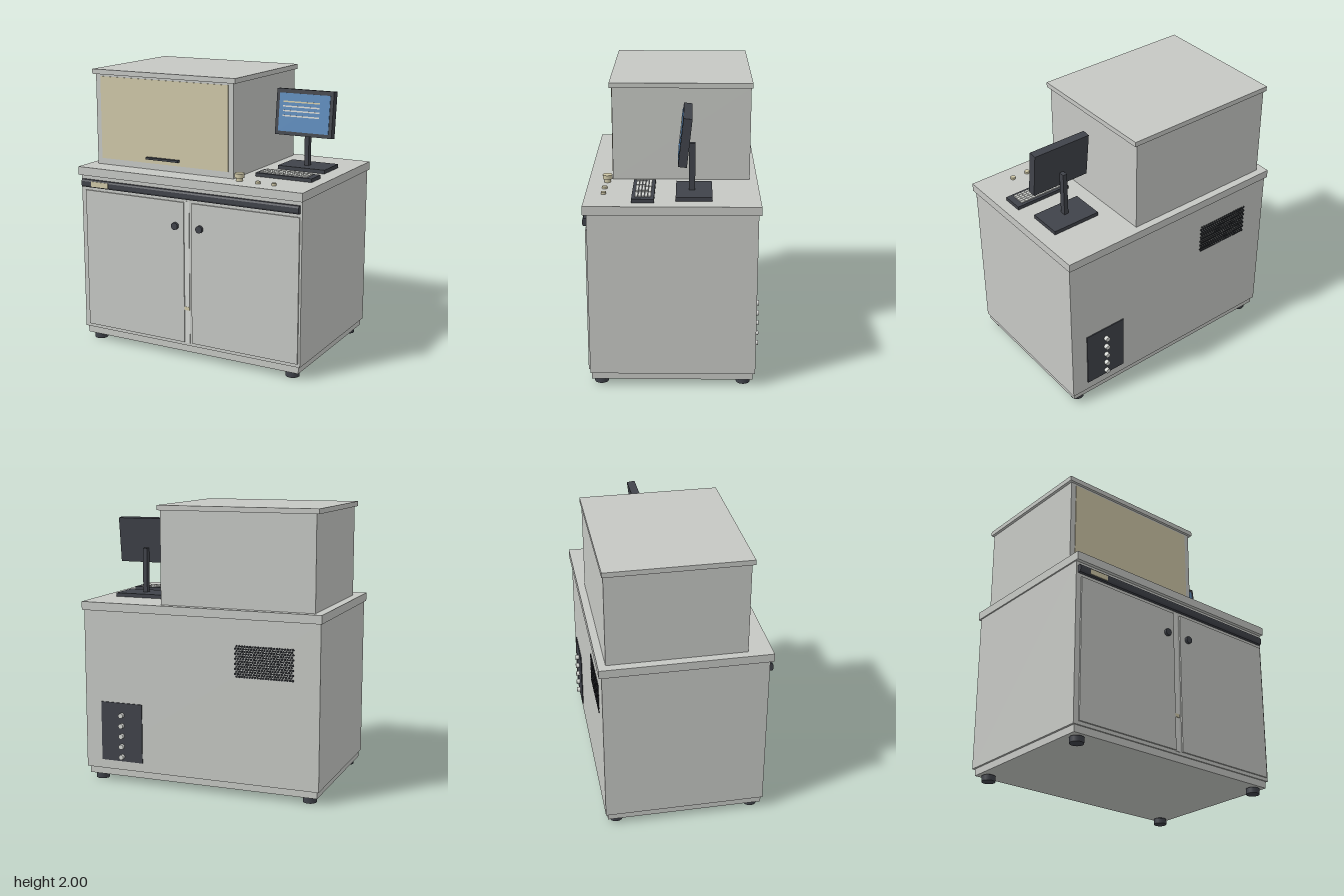
import * as THREE from 'three';
import { mergeGeometries } from 'three/addons/utils/BufferGeometryUtils.js';

const material = (name, color) => {
  const m = new THREE.MeshStandardMaterial({ color });
  m.name = name;
  return m;
};

export function createModel() {
  const grey = material('cabinet grey', 0xc6c8c4);
  const pale = material('pale grey', 0xd6d8d4);
  const dark = material('charcoal', 0x40434a);
  const black = material('vent black', 0x24262a);
  const beige = material('beige', 0xcfc8a8);
  const blue = material('screen blue', 0x5c8aba);

  const model = new THREE.Group();
  model.name = 'laboratoryWorkstation';

  const add = (parent, name, geometry, mat) => {
    const mesh = new THREE.Mesh(geometry, mat);
    mesh.name = name;
    parent.add(mesh);
    return mesh;
  };
  // Box given by its limits on each axis
  const boxGeo = (x0, x1, y0, y1, z0, z1) =>
    new THREE.BoxGeometry(x1 - x0, y1 - y0, z1 - z0)
      .translate((x0 + x1) / 2, (y0 + y1) / 2, (z0 + z1) / 2);
  const box = (parent, name, mat, ...limits) => add(parent, name, boxGeo(...limits), mat);
  // Upright cylinder standing on y
  const post = (parent, name, mat, r, h, x, y, z) =>
    add(parent, name, new THREE.CylinderGeometry(r, r, h, 24).translate(x, y + h / 2, z), mat);
  // Cylinder lying along z
  const peg = (parent, name, mat, r, x, y, z0, z1) =>
    add(parent, name, new THREE.CylinderGeometry(r, r, z1 - z0, 24)
      .rotateX(Math.PI / 2).translate(x, y, (z0 + z1) / 2), mat);
  const group = (name) => {
    const g = new THREE.Group();
    g.name = name;
    model.add(g);
    return g;
  };

  // Cabinet, plinth, counter and feet
  const cabinet = group('cabinet');
  box(cabinet, 'plinth', grey, -0.865, 0.86, 0.045, 0.095, -0.55, 0.557);
  box(cabinet, 'cabinetBody', grey, -0.88, 0.875, 0.095, 1.25, -0.565, 0.567);
  box(cabinet, 'counter', grey, -0.89, 0.885, 1.25, 1.31, -0.583, 0.593);
  for (const x of [-0.795, 0.79]) {
    for (const z of [0.495, -0.485]) {
      post(cabinet, 'foot', dark, 0.048, 0.04, x, 0, z);
      post(cabinet, 'footStem', dark, 0.035, 0.012, x, 0.038, z);
    }
  }

  // Doors with round knobs, and the strip between them
  const doors = group('doors');
  box(doors, 'leftPanelDoor', grey, -0.84, -0.02, 0.12, 1.14, 0.567, 0.578);
  box(doors, 'rightPanelDoor', grey, 0.04, 0.86, 0.12, 1.14, 0.567, 0.578);
  box(doors, 'centreStrip', pale, -0.02, 0.02, 0.115, 1.15, 0.567, 0.571);
  box(doors, 'latch', beige, -0.02, 0.02, 0.36, 0.385, 0.567, 0.574);
  for (const x of [-0.085, 0.11]) peg(doors, 'doorKnob', dark, 0.026, x, 0.967, 0.577, 0.598);

  // Dark trim bar with bevelled edges, plus blank label plate
  const profile = new THREE.Shape([
    [0.565, 1.165], [0.588, 1.165], [0.595, 1.178], [0.595, 1.207], [0.588, 1.22], [0.565, 1.22],
  ].map(([z, y]) => new THREE.Vector2(-z, y)));
  add(cabinet, 'trimBar', new THREE.ExtrudeGeometry(profile, { depth: 1.725, bevelEnabled: false })
    .rotateY(Math.PI / 2).translate(-0.865, 0, 0), dark);
  box(cabinet, 'labelPlate', beige, -0.78, -0.635, 1.172, 1.211, 0.594, 0.598);

  // Enclosure with sliding front window
  const hood = group('enclosure');
  box(hood, 'enclosureBody', grey, -0.83, 0.29, 1.31, 1.965, -0.53, 0.427);
  box(hood, 'enclosureCap', grey, -0.85, 0.31, 1.965, 2, -0.54, 0.445);
  box(hood, 'frontWindow', beige, -0.79, 0.25, 1.355, 1.95, 0.427, 0.432);
  box(hood, 'windowHandle', dark, -0.4, -0.135, 1.385, 1.4, 0.43, 0.458);

  // Monitor on its stand, leaning back
  const monitor = group('monitor');
  box(monitor, 'monitorBase', dark, 0.41, 0.77, 1.31, 1.337, -0.262, -0.018);
  box(monitor, 'monitorPost', dark, 0.576, 0.608, 1.335, 1.66, -0.147, -0.105);
  const head = new THREE.Group();
  head.name = 'monitorHead';
  head.position.set(0.592, 1.717, -0.08);
  head.rotation.x = -0.11;
  monitor.add(head);
  box(head, 'monitorCase', dark, -0.217, 0.217, -0.163, 0.163, -0.029, 0.029);
  box(head, 'screen', blue, -0.192, 0.193, -0.137, 0.133, 0.029, 0.033);
  [0.073, 0.04, 0.008, -0.027].forEach((y, i) =>
    box(head, 'screenLine', i ? pale : beige, -0.162, 0.118, y - 0.005, y + 0.005, 0.033, 0.035));

  // Keyboard with a grid of keys
  const keyboard = group('keyboard');
  box(keyboard, 'keyboardBase', dark, 0.38, 0.805, 1.31, 1.335, 0.125, 0.275);
  const keys = [];
  for (let row = 0; row < 5; row++) {
    for (let col = 0; col < 12; col++) {
      const x = 0.405 + col * 0.0298, z = 0.147 + row * 0.0218;
      keys.push(boxGeo(x, x + 0.0265, 1.334, 1.343, z, z + 0.0185));
    }
  }
  add(keyboard, 'keys', mergeGeometries(keys), pale);

  // Stop button and two push buttons
  const controls = group('controls');
  post(controls, 'stopButtonStem', beige, 0.024, 0.026, 0.355, 1.31, 0.46);
  post(controls, 'stopButtonCap', beige, 0.034, 0.03, 0.355, 1.334, 0.46);
  for (const x of [0.5, 0.62]) post(controls, 'pushButton', beige, 0.018, 0.015, x, 1.31, 0.47);

  // Rear connector panel
  const rear = group('rearPanel');
  box(rear, 'connectorPlate', dark, 0.43, 0.75, 0.16, 0.59, -0.572, -0.565);
  for (let i = 0; i < 5; i++) peg(rear, 'connector', pale, 0.018, 0.587, 0.195 + i * 0.0765, -0.598, -0.57);

  // Rear vent of staggered round holes
  const holes = [];
  for (let row = 0; row < 13; row++) {
    for (let col = 0; col < 22; col++) {
      holes.push(new THREE.CylinderGeometry(0.0083, 0.0083, 0.005, 8).rotateX(Math.PI / 2)
        .translate(-0.69 + col * 0.0192 + (row % 2) * 0.0096, 0.852 + row * 0.0175, -0.567));
    }
  }
  add(rear, 'ventHoles', mergeGeometries(holes), black);

  return model;
}
